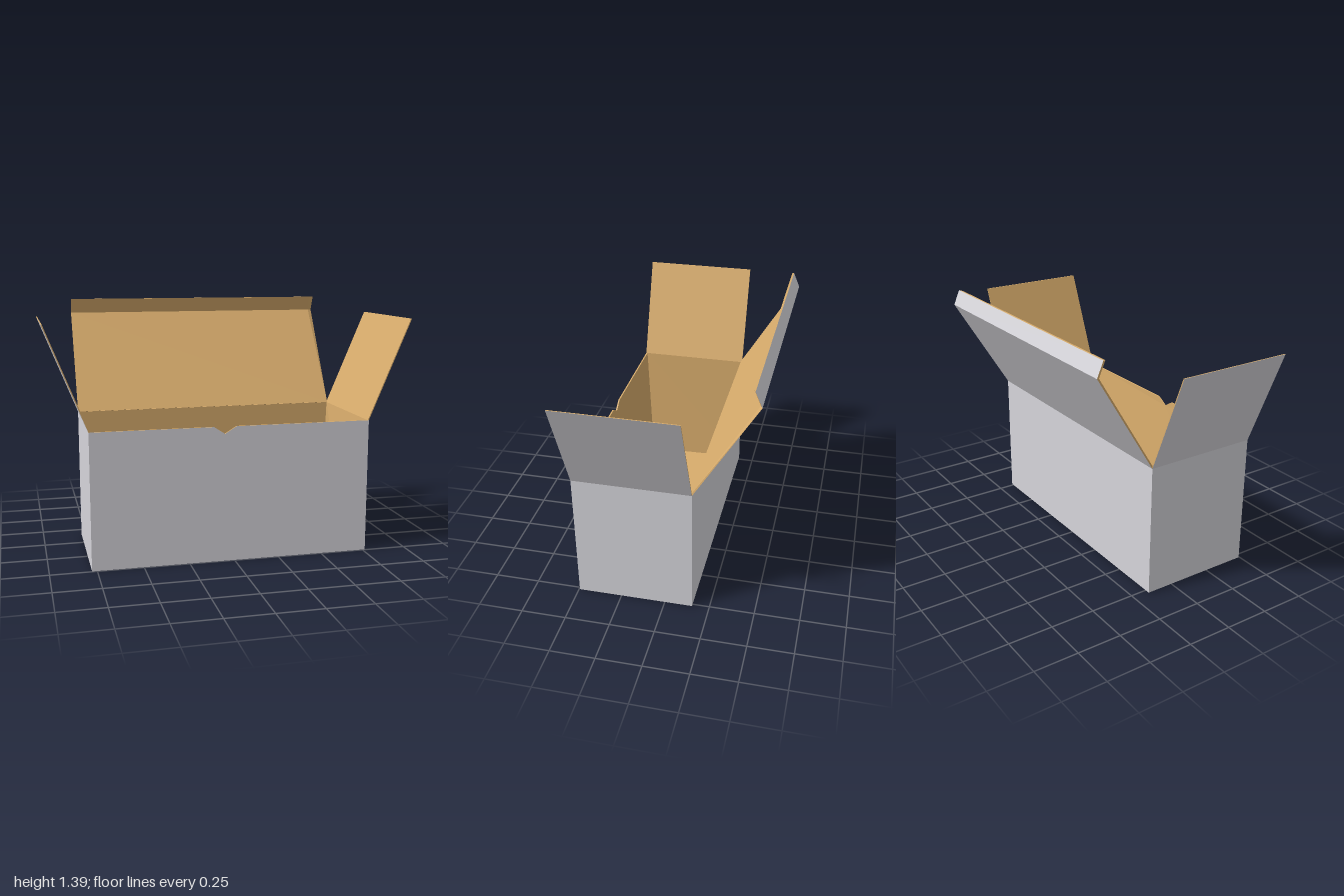
import * as THREE from 'three';

const paper = new THREE.MeshStandardMaterial({ color: 0xd6d5da });
paper.name = 'pale grey outside';
const card = new THREE.MeshStandardMaterial({ color: 0xd8ac6c });
card.name = 'tan cardboard';

// Thin board: outer corners counter-clockwise from outside, inner corners in the same order.
// The outside is grey; the inside and the cut edges are tan.
function board(name, outer, inner) {
  const pos = [], n = outer.length;
  const tri = (...pts) => pts.forEach((p) => pos.push(...p));
  for (let i = 1; i < n - 1; i++) tri(outer[0], outer[i], outer[i + 1]);
  const outerCount = pos.length / 3;
  for (let i = 1; i < n - 1; i++) tri(inner[0], inner[i + 1], inner[i]);
  for (let i = 0; i < n; i++) {
    const j = (i + 1) % n;
    tri(outer[i], inner[i], inner[j]);
    tri(outer[i], inner[j], outer[j]);
  }
  const geo = new THREE.BufferGeometry();
  geo.setAttribute('position', new THREE.Float32BufferAttribute(pos, 3));
  geo.addGroup(0, outerCount, 0);
  geo.addGroup(outerCount, pos.length / 3 - outerCount, 1);
  geo.computeVertexNormals();
  const mesh = new THREE.Mesh(geo, [paper, card]);
  mesh.name = name;
  return mesh;
}

export function createModel() {
  const model = new THREE.Group();
  model.name = 'openBox';
  const L = -0.778, R = 0.765, F = 0.495, B = -0.155, H = 0.747;

  // Corner rings: front left, front right, back right, back left as seen from the front
  const ob = [[L, 0, F], [R, 0, F], [R, 0, B], [L, 0, B]];
  const ot = ob.map(([x, , z]) => [x, H, z]);
  const ib = [[-0.735, 0.02, 0.45], [0.68, 0.02, 0.445], [0.735, 0.02, -0.148], [-0.75, 0.02, -0.148]];
  const it = [[L + 0.006, H, 0.487], [R - 0.006, H, 0.487], [R - 0.006, H, -0.149], [L + 0.006, H, -0.149]];

  // Plain walls and floor
  ['rightWall', 'backWall', 'leftWall'].forEach((name, k) => {
    const i = k + 1, j = (i + 1) % 4;
    const label = { rightWall: 'leftSideWall', leftWall: 'rightSideWall' }[name] || name;
    model.add(board(label, [ob[i], ob[j], ot[j], ot[i]], [ib[i], ib[j], it[j], it[i]]));
  });
  model.add(board('floor', [...ob].reverse(), [...ib].reverse()));

  // Front wall with the thumb notch; its fan starts at the notch tip
  const notch = [[-0.115, H], [-0.055, 0.708], [0.01, H]];
  const [no, ni] = [F, 0.487].map((z) => notch.map(([x, y]) => [x, y, z]));
  model.add(board('frontWall',
    [no[1], no[0], ot[0], ob[0], ob[1], ot[1], no[2]],
    [ni[1], ni[0], it[0], ib[0], ib[1], it[1], ni[2]]));

  // Side flaps leaning outwards
  for (const [name, s, x, tip] of [['leftFlap', 1, R, 1], ['rightFlap', -1, -L, 1]]) {
    const ring = (d) => {
      const p = [
        [s * (x - d), H, F], [s * (x - d), H, B],
        [s * (tip - d), 1.303, B], [s * (tip - d), 1.303, F],
      ];
      return s > 0 ? p : p.reverse();
    };
    model.add(board(name, ring(0), ring(0.006)));
  }

  // Lid and its folded lip
  const strip = (y0, z0, y1, z1, r0 = R, r1 = R) =>
    [[r0, y0, z0], [L, y0, z0], [L, y1, z1], [r1, y1, z1]];
  model.add(board('lid', strip(H, B, 1.303, -0.495), strip(H + 0.002, -0.146, 1.303, -0.484, 0.762, 0.742)));
  model.add(board('lidLip', strip(1.303, -0.495, 1.387, -0.459), strip(1.303, -0.484, 1.387, -0.448, 0.742, 0.737)));

  return model;
}
